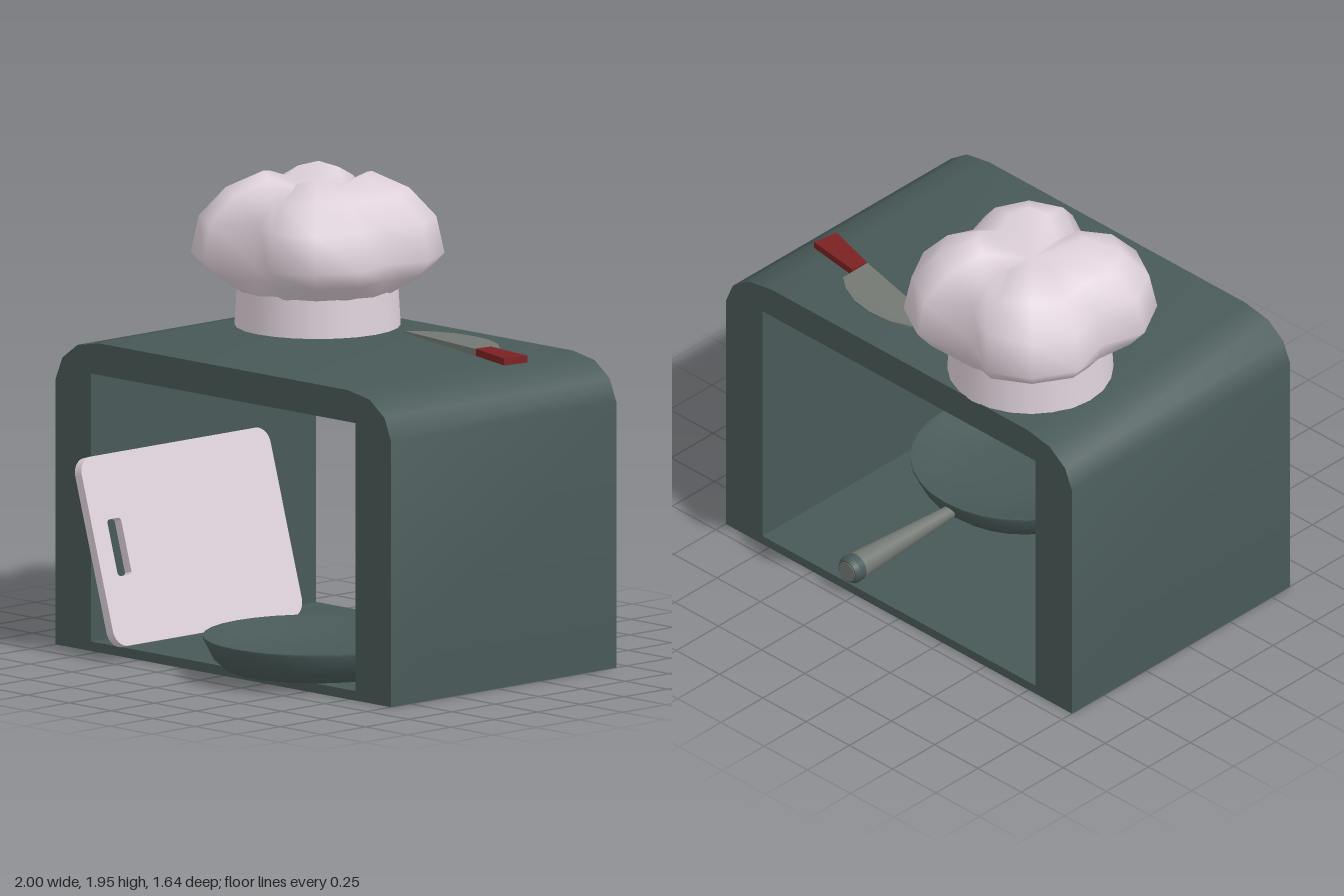
import * as THREE from 'three';
import { toCreasedNormals, mergeVertices } from 'three/addons/utils/BufferGeometryUtils.js';

const mat = (name, color) => {
  const m = new THREE.MeshStandardMaterial({ color });
  m.name = name;
  return m;
};
const v2 = (pts) => pts.map(([x, y]) => new THREE.Vector2(x, y));

export function createModel() {
  const model = new THREE.Group();
  const slate = mat('slateGreen', 0x485958);
  const linen = mat('paleLinen', 0xded1da);
  const steel = mat('steelGrey', 0x737873);
  const red = mat('darkRed', 0x7c2222);

  const add = (name, geo, material, parent = model) => {
    const mesh = new THREE.Mesh(geo, material);
    mesh.name = name;
    parent.add(mesh);
    return mesh;
  };
  const group = (name) => {
    const g = new THREE.Group();
    g.name = name;
    model.add(g);
    return g;
  };
  const extrude = (shape, depth) =>
    new THREE.ExtrudeGeometry(shape, { depth, bevelEnabled: false, curveSegments: 5 });

  // Counter frame: hollow box with rounded upper corners
  const corner = [[1, 1.12], [0.96, 1.215], [0.87, 1.28], [0.74, 1.303]];
  const frame = new THREE.Shape(v2([
    [-1, 0], [1, 0], ...corner, ...corner.map(([x, y]) => [-x, y]).reverse(),
  ]));
  frame.holes.push(new THREE.Path(v2([[-0.79, 0.04], [-0.79, 1.17], [0.787, 1.17], [0.787, 0.04]])));
  const frameGeo = extrude(frame, 1.3);
  frameGeo.translate(0, 0, -0.69);
  add('counterFrame', toCreasedNormals(frameGeo, 0.65), slate);

  // Chef hat: round band and a four-lobed puffy crown
  const hat = group('chefHat');
  hat.position.set(-0.43, 0, -0.35);
  add('hatBand', new THREE.CylinderGeometry(0.335, 0.345, 0.17, 24, 1, true).translate(0, 1.385, 0), linen, hat);

  const levels = [[0.335, 1.46, 0], [0.425, 1.53, 0.6], [0.47, 1.605, 1], [0.44, 1.76, 1],
    [0.34, 1.88, 1], [0.2, 1.95, 1], [0, 1.845, 1]];
  const lobe = [0.87, 1.085, 1.12, 1.085, 0.77];   // radius factor from the x axis to the z axis
  const drop = [0.045, 0.015, 0, 0.02, 0.08];      // height lost in the valleys on top
  let crown = new THREE.LatheGeometry(v2(levels), 16);
  const p = crown.attributes.position;
  for (let i = 0; i < p.count; i++) {
    const x = p.getX(i), z = p.getZ(i), level = i % levels.length;
    if (level === levels.length - 1) {
      p.setXYZ(i, 0, levels[level][1], 0);
      continue;
    }
    const k = Math.round(Math.atan2(Math.abs(z), Math.abs(x)) / (Math.PI / 8));
    const f = 1 + (lobe[k] - 1) * levels[level][2];
    const sink = level === 5 ? drop[k] : level === 4 ? drop[k] * 0.5 : 0;
    p.setXYZ(i, x * f, p.getY(i) - sink, z * f);
  }
  crown.deleteAttribute('normal');
  crown.deleteAttribute('uv');
  crown = mergeVertices(crown, 1e-4);
  crown.computeVertexNormals();
  add('hatCrown', crown, linen, hat);

  // Knife lying on the counter
  const knife = group('knife');
  const blade = [[0.01, -0.42], [0.1, -0.495], [0.2, -0.535], [0.31, -0.545], [0.41, -0.53],
    [0.5, -0.49], [0.565, -0.44], [0.555, -0.305]];
  const bladeGeo = extrude(new THREE.Shape(v2(blade)), 0.03);
  bladeGeo.rotateX(Math.PI / 2).translate(0, 1.335, 0);
  const b = bladeGeo.attributes.position;
  for (let i = 0; i < b.count; i++) {
    // thin the cutting edge
    if (b.getZ(i) < -0.4) b.setY(i, 1.32 + (b.getY(i) > 1.32 ? 0.004 : -0.004));
  }
  add('knifeBlade', toCreasedNormals(bladeGeo, 0.5), steel, knife);
  const grip = extrude(new THREE.Shape(v2([[0.567, -0.385], [0.82, -0.35], [0.8, -0.235], [0.557, -0.305]])), 0.03);
  add('knifeHandle', grip.rotateX(Math.PI / 2).translate(0, 1.336, 0), red, knife);

  // Cutting board leaning on the right wall, with a grip slot
  const w = 1.09, h = 0.8, r = 0.07;
  const board = new THREE.Shape();
  board.moveTo(r, 0);
  board.lineTo(w - r, 0);
  board.absarc(w - r, r, r, -Math.PI / 2, 0);
  board.lineTo(w, h - r);
  board.absarc(w - r, h - r, r, 0, Math.PI / 2);
  board.lineTo(r, h);
  board.absarc(r, h - r, r, Math.PI / 2, Math.PI);
  board.lineTo(0, r);
  board.absarc(r, r, r, Math.PI, Math.PI * 1.5);
  board.holes.push(new THREE.Path(v2([[0.1, 0.29], [0.09, 0.3], [0.09, 0.52], [0.1, 0.53],
    [0.16, 0.53], [0.17, 0.52], [0.17, 0.3], [0.16, 0.29]])));
  const boardGeo = extrude(board, 0.04);
  boardGeo.rotateY(Math.PI / 2).translate(-0.04, 0, 0);
  const boardMesh = add('cuttingBoard', toCreasedNormals(boardGeo, 0.6), linen);
  boardMesh.position.set(-0.515, 0.065, 0.73);
  boardMesh.rotation.z = 0.285;

  // Frying pan: shallow dish with a tapered handle to the back
  const pan = group('fryingPan');
  pan.position.set(0.28, 0, 0.345);
  const dish = new THREE.LatheGeometry(v2([[0, 0.041], [0.38, 0.041], [0.43, 0.085], [0.472, 0.165],
    [0.472, 0.175], [0.45, 0.172], [0.36, 0.125], [0.2, 0.105], [0, 0.1]]), 32);
  add('panDish', toCreasedNormals(dish, 0.6), slate, pan);
  const rod = (name, rBack, rFront, zBack, zFront, material) => {
    const g = new THREE.CylinderGeometry(rFront, rBack, zFront - zBack, 16);
    g.rotateX(Math.PI / 2).translate(-0.005, 0.118, (zFront + zBack) / 2 - 0.345);
    add(name, g, material, pan);
  };
  rod('panHandle', 0.06, 0.028, -0.66, -0.1, steel);
  rod('handleRing', 0.062, 0.06, -0.695, -0.66, slate);
  rod('handleEnd', 0.05, 0.062, -0.715, -0.695, slate);
  rod('handleCap', 0.044, 0.044, -0.718, -0.71, steel);

  return model;
}
